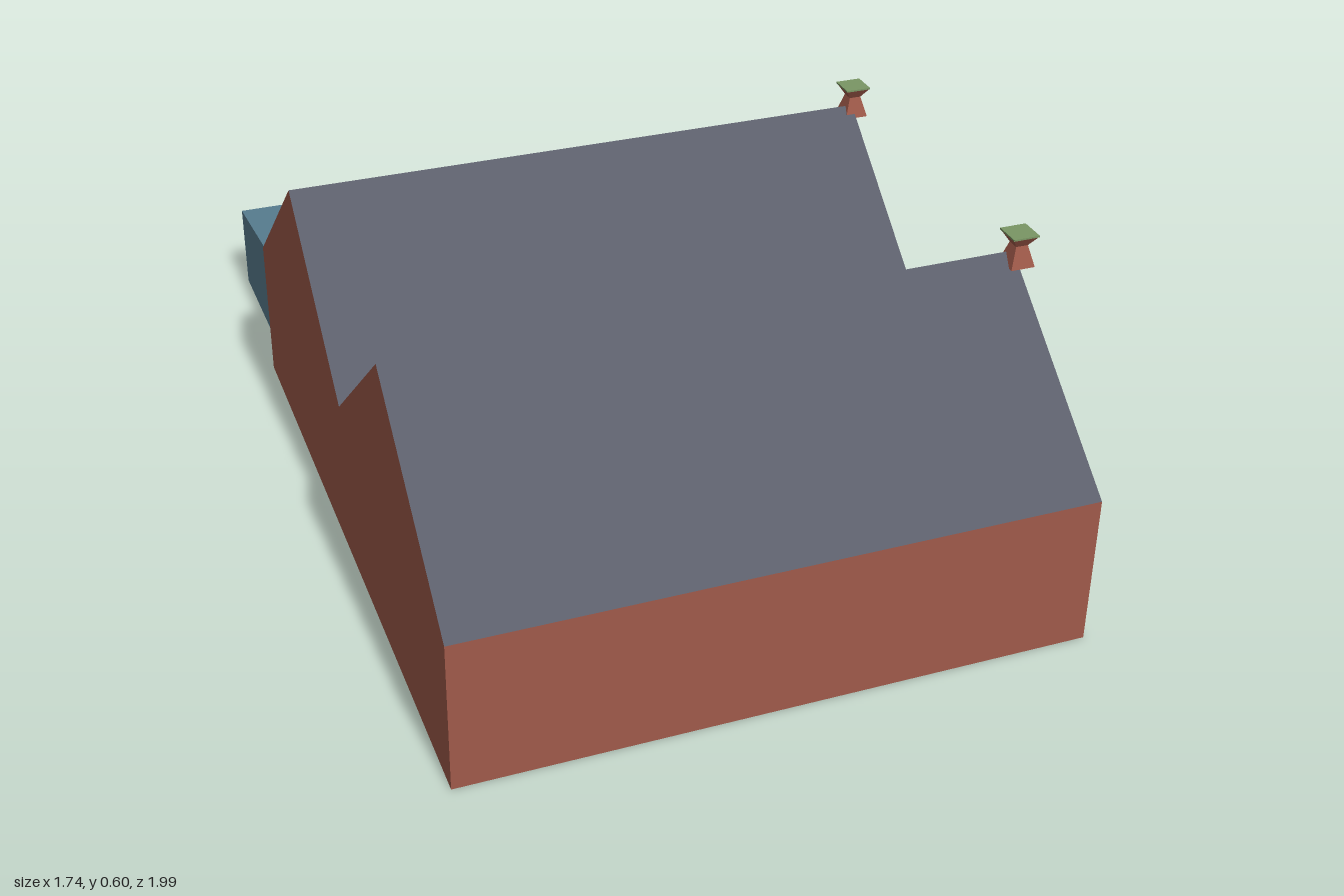
import * as THREE from 'three';

const mat = (name, color) =>
  new THREE.MeshStandardMaterial({ name, color, side: THREE.DoubleSide });

export function createModel() {
  const brick = mat('brick red', 0xa05a4a);
  const slate = mat('slate grey', 0x5b5e6a);
  const teal = mat('teal blue', 0x5a8093);
  const green = mat('moss green', 0x7a9664);
  const glass = mat('window blue grey', 0x5c6c82);

  // Building frame: s runs along the ridges, t runs from the front wall to the back (local -z)
  const house = new THREE.Group();
  house.name = 'house';
  house.position.set(-0.1, 0, 0.998);
  house.rotation.y = 0.484;

  const add = (name, geometry, material) => {
    const mesh = new THREE.Mesh(geometry, material);
    mesh.name = name;
    house.add(mesh);
    return mesh;
  };
  const shapeOf = (pts) => new THREE.Shape(pts.map(([a, b]) => new THREE.Vector2(a, b)));

  // Flat panel across the gable direction: points are [t, y]
  const gablePanel = (name, s, pts, material) => {
    const g = new THREE.ShapeGeometry(shapeOf(pts)).rotateY(Math.PI / 2);
    return add(name, g.translate(s, 0, 0), material);
  };

  // Sloping sheet: outline points are [s, t], height is a linear rule of t
  const sheet = (name, pts, height, material) => {
    const g = new THREE.ShapeGeometry(shapeOf(pts)).rotateX(-Math.PI / 2);
    const p = g.attributes.position;
    for (let i = 0; i < p.count; i++) p.setY(i, height(-p.getZ(i)));
    g.computeVertexNormals();
    return add(name, g, material);
  };

  // Upright wall following a plan path: points are [s, t, bottom, top]
  const wall = (name, path, material) => {
    const v = [];
    for (let i = 0; i + 1 < path.length; i++) {
      const [s0, t0, b0, h0] = path[i];
      const [s1, t1, b1, h1] = path[i + 1];
      const a = [s0, b0, -t0], b = [s1, b1, -t1], c = [s1, h1, -t1], d = [s0, h0, -t0];
      v.push(...a, ...b, ...c, ...a, ...c, ...d);
    }
    const g = new THREE.BufferGeometry();
    g.setAttribute('position', new THREE.Float32BufferAttribute(v, 3));
    g.computeVertexNormals();
    return add(name, g, material);
  };

  const W = 1.097;
  const line = (t0, y0, t1, y1) => (t) => y0 + ((y1 - y0) * (t - t0)) / (t1 - t0);

  // Twin gable profile [t, y]
  const profile = [[0, 0.275], [0.345, 0.56], [0.66, 0.295], [0.975, 0.56], [1.315, 0.275]];
  const gable = [[0, 0], ...[[1.315, 0]], ...[...profile].reverse()];
  gablePanel('rightGableWall', W, gable, brick);
  gablePanel('leftGableWall', 0, gable, brick);
  wall('frontWall', [[0, 0, 0, 0.275], [W, 0, 0, 0.275]], brick);

  // First three roof slopes
  for (let i = 0; i < 3; i++) {
    const [t0, y0] = profile[i];
    const [t1, y1] = profile[i + 1];
    sheet('roofSlope' + (i + 1), [[0, t0], [W, t0], [W, t1], [0, t1]], line(t0, y0, t1, y1), slate);
  }

  // Rear slope with its stepped eave
  const rear = line(0.975, 0.56, 1.315, 0.275);
  const eave = [[W, 1.31], [1.07, 1.395], [0.587, 1.395], [0.537, 1.343], [0.027, 1.343], [0, 1.315]];
  sheet('rearRoofSlope', [[0, 0.975], [W, 0.975], ...eave], rear, slate);

  // Lean-to extension behind the house
  const lean = line(1.395, rear(1.395), 1.695, 0.17);
  sheet('extensionRoof',
    [[1.07, 1.395], [1.05, 1.695], [0.023, 1.695], [0.027, 1.343], [0.537, 1.343], [0.587, 1.395]],
    lean, teal);
  wall('extensionWalls', [
    [W, 1.31, 0, rear(1.31)], [1.07, 1.395, 0, lean(1.395)], [1.05, 1.695, 0, 0.17],
    [0.023, 1.695, 0, 0.17], [0.027, 1.343, 0, lean(1.343)],
  ], teal);

  // Brick strip showing between the eave and the extension
  wall('upperRearWall', [[0.587, 1.395], [0.537, 1.343], [0.027, 1.343]]
    .map(([s, t]) => [s, t, lean(t), rear(t)]), brick);
  wall('rearCornerWall', [[0.027, 1.343, 0, rear(1.343)], [0, 1.315, 0, rear(1.315)]], brick);

  // Doors and attic window on the right gable
  const rect = (t0, t1, y0, y1) => [[t0, y0], [t1, y0], [t1, y1], [t0, y1]];
  gablePanel('greenDoor', W + 0.007, rect(0.21, 0.455, 0.015, 0.22), green);
  gablePanel('blueDoor', W + 0.007, rect(0.866, 1.11, 0.015, 0.22), teal);
  gablePanel('atticWindow', W + 0.005,
    [[0.967, 0.417], [0.955, 0.38], [0.998, 0.347], [1.022, 0.38], [1.022, 0.402]], glass);

  // Pinched chimneys with green tops
  const frustum = (top, bottom, h, y) => {
    const r = Math.SQRT2;
    const g = new THREE.CylinderGeometry(top * r, bottom * r, h, 4, 1, true)
      .rotateY(Math.PI / 4).toNonIndexed();
    g.computeVertexNormals();
    return g.translate(0, y + h / 2, 0);
  };
  [0.335, 0.98].forEach((t) => {
    const parts = [
      add('chimneyBase', frustum(0.011, 0.022, 0.038, 0.54), brick),
      add('chimneyFlare', frustum(0.024, 0.011, 0.02, 0.578), brick),
      add('chimneyTop', new THREE.BoxGeometry(0.048, 0.003, 0.048).translate(0, 0.598, 0), green),
    ];
    parts.forEach((m) => m.position.set(1.1, 0, -t));
  });

  const model = new THREE.Group();
  model.name = 'twinGableHouse';
  model.add(house);
  return model;
}
